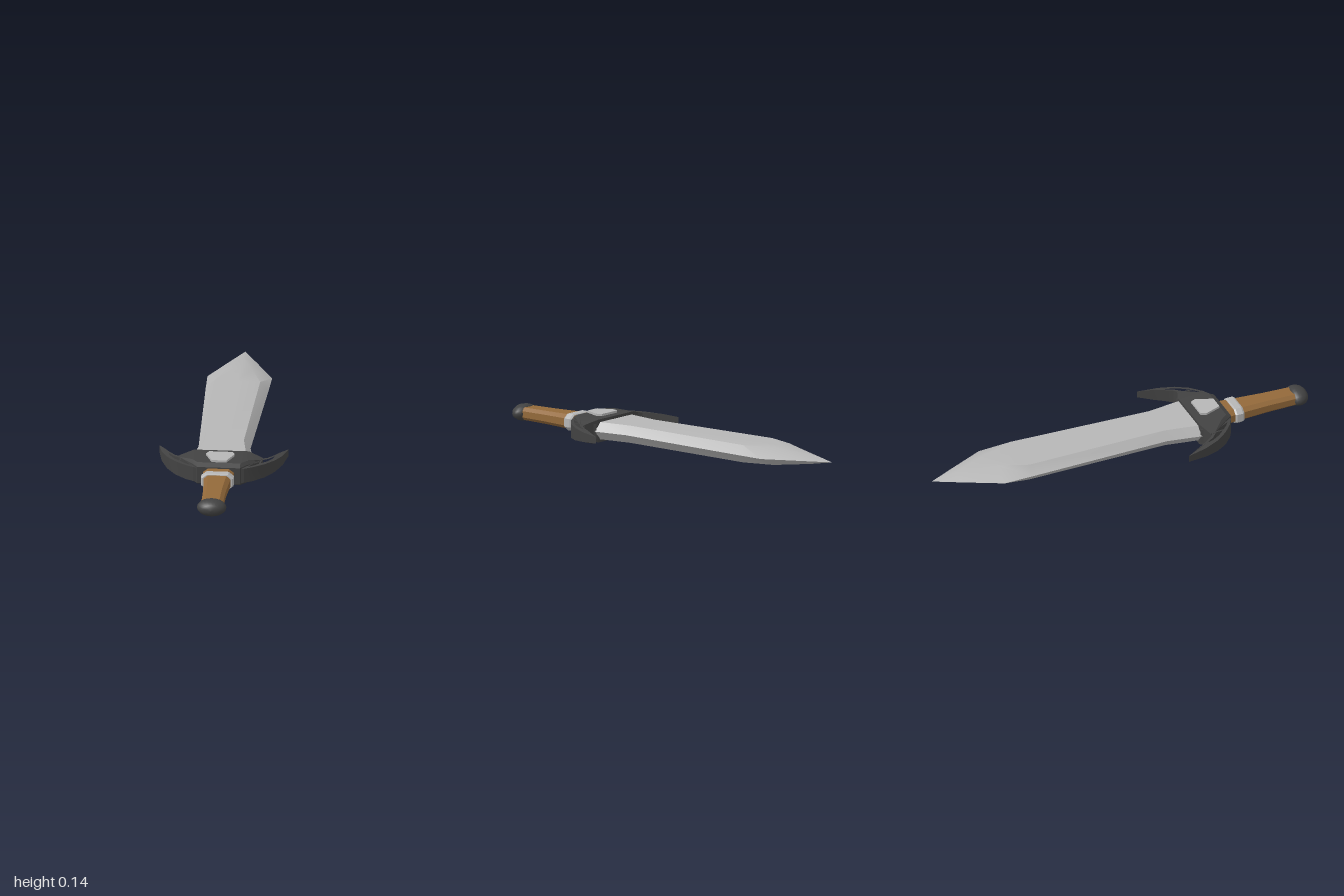
import * as THREE from 'three';
import { toCreasedNormals } from 'three/addons/utils/BufferGeometryUtils.js';

const CY = 0.068; // height of the sword's middle plane
const mat = (name, color) => Object.assign(new THREE.MeshStandardMaterial({ color }), { name });

// Skin a list of { at, pts } cross-sections (counter-clockwise xy loops) along +z
function loft(sections, crease) {
  const n = sections[0].pts.length, pos = [], idx = [];
  for (const s of sections) for (const [x, y] of s.pts) pos.push(x, y, s.at);
  const last = (sections.length - 1) * n;
  for (let r = 0; r < last; r += n) {
    for (let i = 0; i < n; i++) {
      const a = r + i, b = r + (i + 1) % n;
      idx.push(a, b, b + n, a, b + n, a + n);
    }
  }
  for (let i = 1; i < n - 1; i++) idx.push(0, i + 1, i, last, last + i, last + i + 1);
  const g = new THREE.BufferGeometry();
  g.setAttribute('position', new THREE.Float32BufferAttribute(pos, 3));
  g.setIndex(idx);
  return toCreasedNormals(g, crease);
}

// Eight-sided cross-section with clipped corners
const octagon = (at, w, h) => {
  const u = w * 0.68, v = h * 0.5;
  return { at, pts: [[w, -v], [w, v], [u, h], [-u, h], [-w, v], [-w, -v], [-u, -h], [u, -h]] };
};

// Extrude an (x, z) outline vertically, centred on y = 0
function slab(points, height, holes = []) {
  const toV = (list) => list.map(([x, z]) => new THREE.Vector2(x, z));
  const shape = new THREE.Shape(toV(points));
  for (const h of holes) shape.holes.push(new THREE.Path(toV(h)));
  const g = new THREE.ExtrudeGeometry(shape, { depth: height, bevelEnabled: false });
  return g.translate(0, 0, -height / 2).rotateX(Math.PI / 2);
}

export function createModel() {
  const model = new THREE.Group();
  model.name = 'sword';
  const steel = mat('steel', 0xb6b6b6);
  const iron = mat('darkIron', 0x424242);
  const leather = mat('brownGrip', 0x93693a);

  const add = (name, geometry, material, y = CY) => {
    const mesh = new THREE.Mesh(geometry, material);
    mesh.name = name;
    mesh.position.y = y;
    model.add(mesh);
    return mesh;
  };

  // Blade: z, half width, half width of the flat, half thickness
  const blade = [
    [-1, 0.0005, 0.0002, 0.0005], [-0.87, 0.066, 0.004, 0.024], [-0.68, 0.159, 0.06, 0.045],
    [-0.53, 0.155, 0.113, 0.043], [0.2, 0.128, 0.095, 0.043], [0.4, 0.16, 0.125, 0.043],
  ].map(([at, w, r, h]) => ({
    at, pts: [[w, 0], [r, h], [0, h], [-r, h], [-w, 0], [-r, -h], [0, -h], [r, -h]],
  }));
  add('blade', loft(blade, 0.55), steel);

  // Guard body, skinned along x: x, back z, front z, half height
  const body = [
    [-0.205, 0.4, 0.425, 0.037], [-0.135, 0.37, 0.51, 0.057], [-0.105, 0.37, 0.553, 0.057],
    [0.105, 0.37, 0.553, 0.057], [0.135, 0.37, 0.51, 0.057], [0.205, 0.4, 0.425, 0.037],
  ].map(([at, zb, zf, h]) => {
    const c = zf - (zf - zb) * 0.15, v = h * 0.75;
    return { at, pts: [[-zb, -h], [-zb, h], [-c, h], [-zf, v], [-zf, -v], [-c, -h]] };
  });
  add('guardBody', loft(body, 0.3).rotateY(Math.PI / 2), iron);

  // Curved guard wings with slots, thinning towards their points
  const wing = [
    [0.09, 0.55], [0.125, 0.543], [0.165, 0.52], [0.22, 0.472], [0.265, 0.41], [0.297, 0.335], [0.318, 0.234],
    [0.283, 0.305], [0.255, 0.352], [0.228, 0.39], [0.2, 0.41], [0.175, 0.396], [0.15, 0.37], [0.09, 0.4],
  ];
  const slots = [
    [[0.14, 0.518], [0.165, 0.5], [0.192, 0.475], [0.195, 0.435], [0.165, 0.475]],
    [[0.2, 0.467], [0.228, 0.435], [0.254, 0.39], [0.262, 0.358], [0.235, 0.4], [0.203, 0.43]],
  ];
  for (const side of [1, -1]) {
    const flip = (list) => list.map(([x, z]) => [x * side, z]);
    const g = slab(flip(wing), 2, slots.map(flip));
    const p = g.attributes.position;
    for (let i = 0; i < p.count; i++) {
      const x = Math.abs(p.getX(i));
      const h = x < 0.2 ? 0.037 : x < 0.285 ? 0.037 - (x - 0.2) * 0.1 : 0.0285 - (x - 0.285) * 0.36;
      p.setY(i, p.getY(i) * h);
    }
    add(side > 0 ? 'leftGuardWing' : 'rightGuardWing', toCreasedNormals(g, 0.3), iron);
  }

  // Pale inlay standing proud of the guard on both faces
  const inlay = [[0.058, 0.41], [0.07, 0.437], [0.036, 0.52], [-0.036, 0.52], [-0.07, 0.437], [-0.058, 0.41]];
  for (const side of [1, -1]) {
    add(side > 0 ? 'topInlay' : 'bottomInlay', slab(inlay, 0.018), steel, CY + side * 0.059);
  }

  // Grip, collar and pommel
  add('grip', loft([octagon(0.54, 0.077, 0.037), octagon(0.64, 0.066, 0.036),
    octagon(0.78, 0.056, 0.033), octagon(0.93, 0.053, 0.031)], 0.3), leather);
  add('collar', loft([octagon(0.59, 0.074, 0.038), octagon(0.598, 0.08, 0.042),
    octagon(0.628, 0.08, 0.042), octagon(0.637, 0.074, 0.038)], 0.3), steel);
  const profile = [[0, 0.912], [0.05, 0.914], [0.066, 0.924], [0.072, 0.94], [0.072, 0.955],
    [0.064, 0.975], [0.045, 0.99], [0.022, 0.998], [0, 1]].map(([r, z]) => new THREE.Vector2(r, z));
  add('pommel', new THREE.LatheGeometry(profile, 20).rotateX(Math.PI / 2).scale(1, 0.58, 1), iron);

  return model;
}
